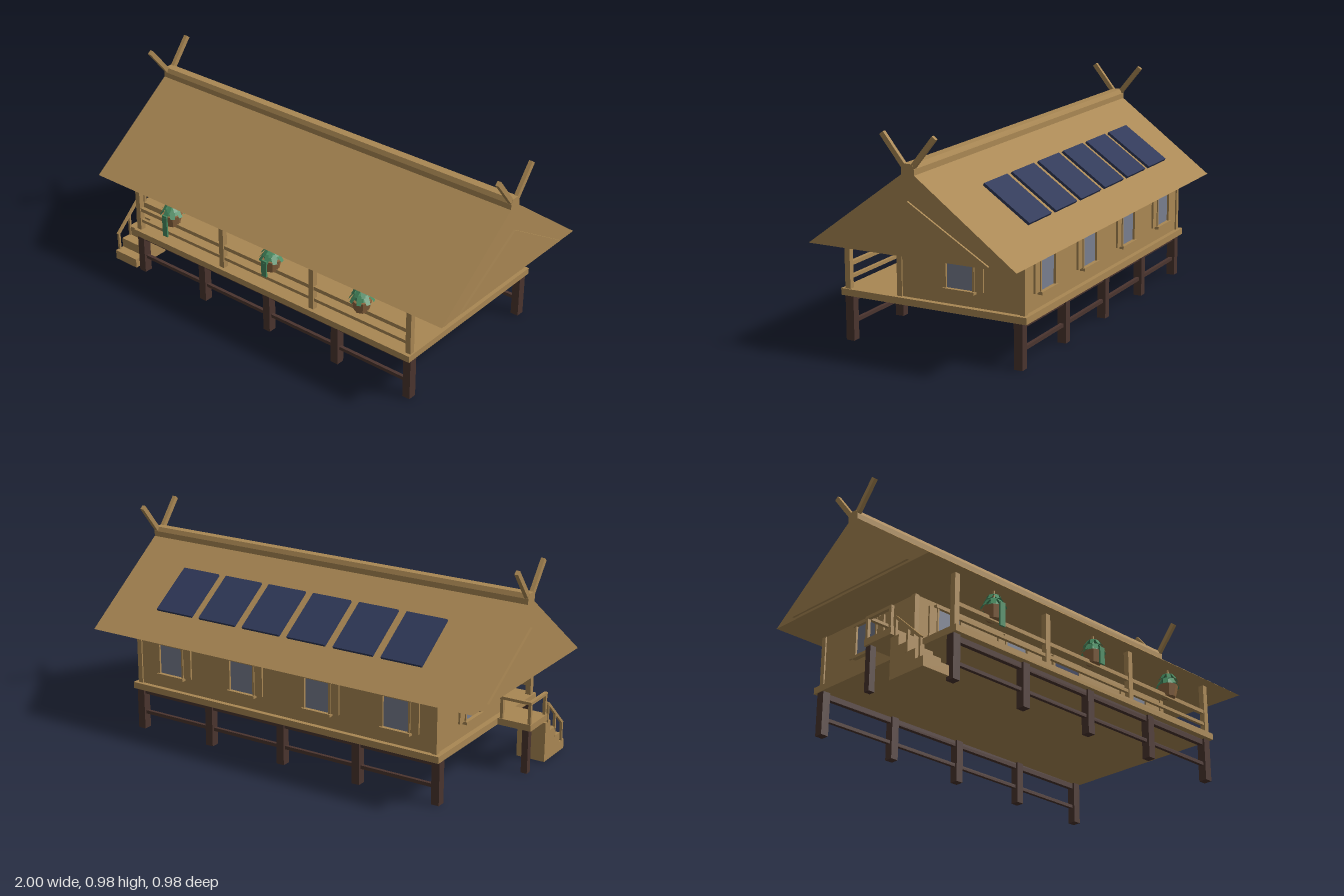
import * as THREE from 'three';

const mat = (name, color, side = THREE.FrontSide) => {
  const m = new THREE.MeshStandardMaterial({ color, side });
  m.name = name;
  return m;
};

export function createModel() {
  const wood = mat('wood', 0xa98753);
  const dark = mat('darkTimber', 0x4a342e);
  const navy = mat('navy', 0x2f3858);
  const glass = mat('glass', 0x787e8e);
  const clay = mat('pot', 0x8d6740);
  const green = mat('leaf', 0x46895f, THREE.DoubleSide);

  const model = new THREE.Group();
  model.name = 'stiltHouse';

  const add = (parent, name, geo, m) => {
    const mesh = new THREE.Mesh(geo, m);
    mesh.name = name;
    parent.add(mesh);
    return mesh;
  };
  // Box given by its limits on each axis
  const box = (parent, name, m, x0, x1, y0, y1, z0, z1) => {
    const b = add(parent, name, new THREE.BoxGeometry(x1 - x0, y1 - y0, z1 - z0), m);
    b.position.set((x0 + x1) / 2, (y0 + y1) / 2, (z0 + z1) / 2);
    return b;
  };
  // Sloped bar at x, running between two [z, y] points
  const bar = (name, m, x, w, t, [z0, y0], [z1, y1]) => {
    const b = add(model, name, new THREE.BoxGeometry(w, t, Math.hypot(z1 - z0, y1 - y0)), m);
    b.position.set(x, (y0 + y1) / 2, (z0 + z1) / 2);
    b.rotation.x = -Math.atan2(y1 - y0, z1 - z0);
    return b;
  };
  // Cross-section of [z, y] points swept along x
  const prism = (name, m, pts, x0, x1) => {
    const shape = new THREE.Shape(pts.map(([z, y]) => new THREE.Vector2(-z, y)));
    const geo = new THREE.ExtrudeGeometry(shape, { depth: x1 - x0, bevelEnabled: false });
    geo.rotateY(Math.PI / 2).translate(x0, 0, 0);
    return add(model, name, geo, m);
  };

  // Stilts and cross beams
  for (const z of [0.42, -0.397]) {
    for (let i = -2; i <= 2; i++) {
      const x = i * 0.393;
      box(model, 'stilt', dark, x - 0.019, x + 0.019, 0, 0.2, z - 0.02, z + 0.02);
    }
    box(model, 'upperBeam', dark, -0.79, 0.79, 0.172, 0.198, z - 0.01, z + 0.01);
    box(model, 'lowerBeam', dark, -0.79, 0.79, 0.072, 0.088, z - 0.008, z + 0.008);
  }

  // Deck and house body
  box(model, 'deck', wood, -0.81, 0.81, 0.2, 0.23, -0.437, 0.458);
  box(model, 'walls', wood, -0.785, 0.785, 0.23, 0.475, -0.415, 0.18);
  for (const x of [-0.78, 0.78]) {
    for (const z of [-0.41, 0.175]) {
      box(model, 'cornerPost', wood, x - 0.012, x + 0.012, 0.23, 0.47, z - 0.012, z + 0.012);
    }
  }

  // Veranda posts and rails
  for (let i = 0; i < 4; i++) {
    const x = -0.79 + i * 0.5267;
    box(model, 'verandaPost', wood, x - 0.013, x + 0.013, 0.23, 0.475, 0.415, 0.441);
  }
  box(model, 'topRail', wood, -0.79, 0.79, 0.328, 0.346, 0.419, 0.437);
  box(model, 'lowRail', wood, -0.79, 0.79, 0.27, 0.285, 0.421, 0.435);

  // Solid gable roof, gable panels and ridge cap
  prism('roof', wood, [[-0.49, 0.47], [0.49, 0.47], [0, 0.832]], -0.99, 0.99);
  for (const s of [-1, 1]) {
    prism('gablePanel', wood, [[-0.37, 0.481], [0.37, 0.481], [0, 0.704]], s < 0 ? -1 : 0.985, s < 0 ? -0.985 : 1);
    // Crossed ridge poles
    for (const k of [-1, 1]) {
      bar('ridgePole', wood, s * 0.98, 0.018, 0.022, [-k * 0.01, 0.805], [k * 0.122, 0.97]);
    }
  }
  prism('ridgeCap', wood, [[-0.03, 0.79], [0.03, 0.79], [0.03, 0.835], [0.02, 0.855],
    [-0.02, 0.855], [-0.03, 0.835]], -0.99, 0.99);

  // Solar panels
  for (let i = 0; i < 6; i++) {
    bar('solarPanel', navy, -0.596 + i * 0.2385, 0.197, 0.012, [-0.178, 0.732], [-0.388, 0.588]);
  }

  // Windows: local frame faces +z, centred on the pane
  const addWindow = (x, z, turn) => {
    const g = new THREE.Group();
    g.name = 'window';
    box(g, 'pane', glass, -0.063, 0.063, -0.07, 0.07, 0, 0.004);
    box(g, 'sill', wood, -0.074, 0.074, -0.083, -0.07, 0, 0.022);
    box(g, 'lintel', wood, -0.08, 0.08, 0.07, 0.084, 0, 0.018);
    for (const s of [-1, 1]) {
      const jamb = box(g, 'jamb', wood, -0.0045, 0.0045, -0.07, 0.07, 0, 0.014);
      jamb.position.x = s * 0.0665;
      const shutter = box(g, 'shutter', wood, -0.02, 0.02, -0.07, 0.07, 0, 0.009);
      shutter.position.x = s * 0.091;
    }
    g.position.set(x, 0.371, z);
    g.rotation.y = turn;
    model.add(g);
  };
  for (const x of [-0.6, -0.2, 0.595]) addWindow(x, 0.18, 0);
  for (const x of [-0.595, -0.2, 0.2, 0.595]) addWindow(x, -0.415, Math.PI);
  for (const s of [-1, 1]) addWindow(s * 0.785, -0.118, s * Math.PI / 2);

  // Front door
  box(model, 'door', navy, 0.04, 0.195, 0.23, 0.445, 0.18, 0.189);
  box(model, 'doorLintel', wood, 0.025, 0.21, 0.445, 0.459, 0.18, 0.198);
  for (const x of [0.034, 0.201]) box(model, 'doorJamb', wood, x - 0.006, x + 0.006, 0.23, 0.445, 0.18, 0.194);

  // Side landing with its post and railing
  box(model, 'landing', wood, -0.97, -0.8, 0.2, 0.23, 0.085, 0.25);
  box(model, 'landingStilt', dark, -0.96, -0.93, 0, 0.2, 0.086, 0.115);
  for (const [x, z] of [[-0.96, 0.095], [-0.96, 0.238], [-0.825, 0.095]]) {
    box(model, 'landingPost', wood, x - 0.007, x + 0.007, 0.23, 0.322, z - 0.007, z + 0.007);
  }
  box(model, 'landingSideRail', wood, -0.968, -0.952, 0.32, 0.333, 0.087, 0.246);
  box(model, 'landingBackRail', wood, -0.968, -0.817, 0.32, 0.333, 0.087, 0.103);

  // Stairs and handrail
  prism('stairs', wood, [[0.245, 0], [0.442, 0], [0.442, 0.045], [0.395, 0.045], [0.395, 0.091],
    [0.345, 0.091], [0.345, 0.137], [0.294, 0.137], [0.294, 0.185], [0.245, 0.185]], -0.965, -0.828);
  bar('handrail', wood, -0.96, 0.012, 0.012, [0.268, 0.272], [0.425, 0.128]);
  for (const [z, y0, y1] of [[0.27, 0.18, 0.272], [0.345, 0.09, 0.2], [0.42, 0.04, 0.13]]) {
    box(model, 'handrailPost', wood, -0.966, -0.954, y0, y1, z - 0.005, z + 0.005);
  }

  // Hanging plants: tapered pot, drooping leaf blades and a trailing vine
  const leafGeo = new THREE.BufferGeometry();
  leafGeo.setAttribute('position', new THREE.Float32BufferAttribute([
    0, 0, 0, 0.013, -0.006, 0.03, -0.013, -0.006, 0.03, 0.01, -0.04, 0.055, -0.01, -0.04, 0.055], 3));
  leafGeo.setIndex([0, 2, 1, 1, 2, 3, 2, 4, 3]);
  const leaf = leafGeo.toNonIndexed();
  leaf.computeVertexNormals();
  [-0.575, 0.03, 0.535].forEach((x, n) => {
    const g = new THREE.Group();
    g.name = 'hangingPlant';
    const pot = add(g, 'pot', new THREE.CylinderGeometry(0.046, 0.033, 0.055, 8).toNonIndexed(), clay);
    pot.geometry.computeVertexNormals();
    pot.position.y = 0.363;
    const crown = add(g, 'foliage', new THREE.ConeGeometry(0.036, 0.06, 7).toNonIndexed(), green);
    crown.geometry.computeVertexNormals();
    crown.position.y = 0.418;
    for (let i = 0; i < 16; i++) {
      const blade = add(g, 'leaf', leaf, green);
      blade.position.y = i % 2 ? 0.45 : 0.428;
      blade.rotation.y = i * Math.PI / 8 + n;
      blade.scale.setScalar(i % 2 ? 0.8 : 1);
    }
    if (n < 2) box(g, 'vine', green, -0.014, 0.014, n ? 0.32 : 0.292, 0.4, 0.03, 0.038).position.z = 0.05;
    box(g, 'hanger', wood, -0.004, 0.004, 0.44, 0.475, -0.004, 0.004);
    g.position.set(x, 0, 0.43);
    model.add(g);
  });

  return model;
}
